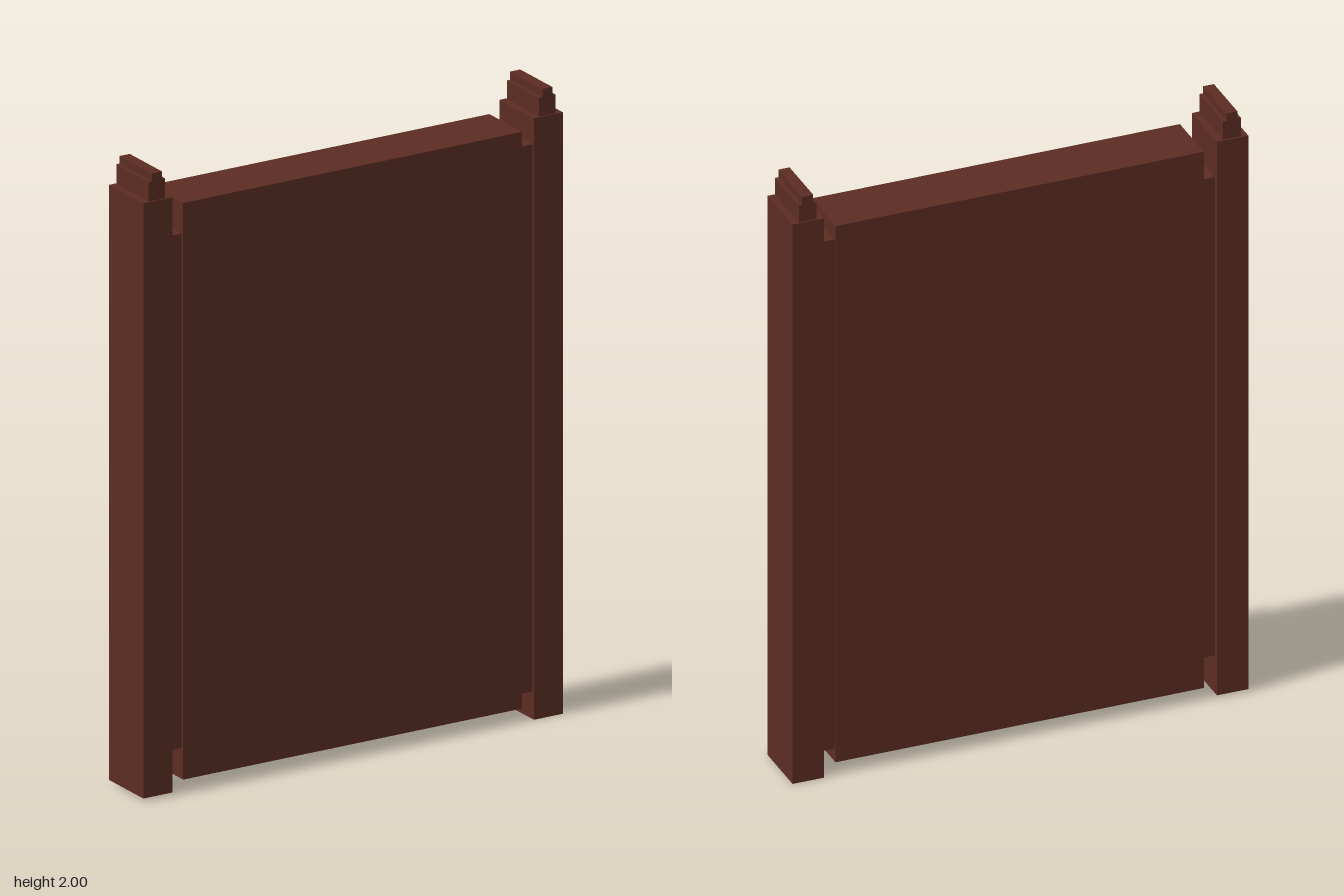
import * as THREE from 'three';

export function createModel() {
  const model = new THREE.Group();
  const wood = new THREE.MeshStandardMaterial({ color: 0x5c2d23 });
  wood.name = 'dark brown wood';

  // Box given by its x and y limits and half depth, centred on z = 0
  const slab = (parent, name, x0, x1, y0, y1, halfDepth) => {
    const mesh = new THREE.Mesh(new THREE.BoxGeometry(x1 - x0, y1 - y0, halfDepth * 2), wood);
    mesh.position.set((x0 + x1) / 2, (y0 + y1) / 2, 0);
    mesh.name = name;
    parent.add(mesh);
  };

  // Main panel
  slab(model, 'panel', -0.598, 0.598, 0.042, 1.878, 0.093);

  // The two sides differ slightly in height and in the size of the joining strip
  const sides = [
    { name: 'right', x: -0.69, bottom: 0.01, top: 1.905, steps: [1.968, 1.992], strip: [-0.64, -0.598, 0.14, 1.777, 0.082] },
    { name: 'left', x: 0.688, bottom: 0, top: 1.915, steps: [1.974, 2], strip: [0.598, 0.637, 0.087, 1.83, 0.088] },
  ];
  for (const s of sides) {
    const post = new THREE.Group();
    post.name = s.name + 'Post';
    slab(post, 'postShaft', s.x - 0.051, s.x + 0.051, s.bottom, s.top, 0.097);
    // Stepped cap on top
    slab(post, 'capBase', s.x - 0.029, s.x + 0.029, s.top, s.steps[0], 0.092);
    slab(post, 'capRidge', s.x - 0.018, s.x + 0.018, s.steps[0], s.steps[1], 0.092);
    // Recessed strip between post and panel
    slab(post, 'joiningStrip', ...s.strip);
    model.add(post);
  }
  return model;
}
